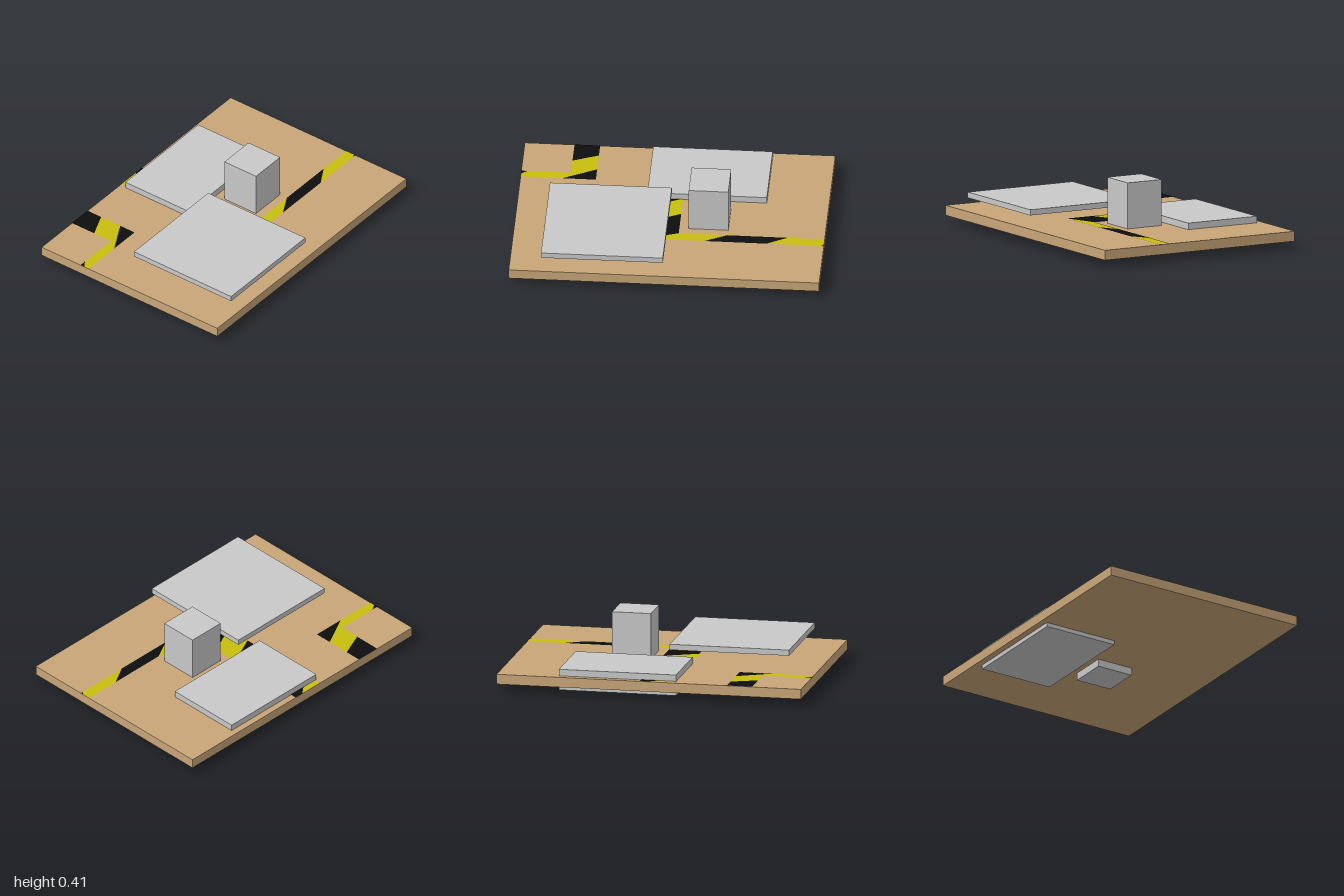
import * as THREE from 'three';

const material = (name, color) => {
  const m = new THREE.MeshStandardMaterial({ color });
  m.name = name;
  return m;
};

export function createModel() {
  const wood = material('wood', 0xc8a578);
  const grey = material('grey', 0xc8c8c8);
  const black = material('black', 0x0d0d0d);
  const yellow = material('yellow', 0xc8be0f);

  const model = new THREE.Group();
  model.name = 'boardWithBlocks';

  // Box given by its lower and upper corners
  const box = (name, mat, [x0, y0, z0], [x1, y1, z1]) => {
    const mesh = new THREE.Mesh(new THREE.BoxGeometry(x1 - x0, y1 - y0, z1 - z0), mat);
    mesh.position.set((x0 + x1) / 2, (y0 + y1) / 2, (z0 + z1) / 2);
    mesh.name = name;
    model.add(mesh);
  };

  const top = 0.115;
  box('baseBoard', wood, [-1, 0.05, -0.71], [1, top, 0.71]);
  box('floatingPlate', grey, [-0.795, 0.19, -0.12], [-0.01, 0.227, 0.665]);
  box('backSlab', grey, [-0.17, 0.022, -0.667], [0.6, 0.158, -0.153]);
  box('tallBlock', grey, [0.12, 0, -0.088], [0.375, 0.415, 0.167]);

  // Flat hazard tape pieces, outlined by [x, z] points on top of the board
  const tape = (name, group, mat, points) => {
    const shape = new THREE.Shape(points.map(([x, z]) => new THREE.Vector2(x, -z)));
    const mesh = new THREE.Mesh(new THREE.ShapeGeometry(shape).rotateX(-Math.PI / 2), mat);
    mesh.position.y = top + 0.002;
    mesh.name = name;
    group.add(mesh);
  };

  // L-shaped tape around the back corner
  const cornerTape = new THREE.Group();
  cornerTape.name = 'cornerTape';
  tape('backStripe', cornerTape, black, [[-0.68, -0.71], [-0.515, -0.71], [-0.515, -0.6], [-0.68, -0.53]]);
  tape('bendStripe', cornerTape, yellow, [[-1, -0.365], [-0.955, -0.395], [-0.68, -0.395], [-0.68, -0.53],
    [-0.515, -0.6], [-0.515, -0.445], [-0.73, -0.33], [-1, -0.33]]);
  tape('cornerStripe', cornerTape, black, [[-0.73, -0.33], [-0.515, -0.445], [-0.515, -0.33]]);
  tape('tipStripe', cornerTape, black, [[-1, -0.395], [-0.955, -0.395], [-1, -0.365]]);

  // Wide tape running front to back, with slanted stripes
  const middleTape = new THREE.Group();
  middleTape.name = 'middleTape';
  const [xl, xr] = [-0.155, 0.06];
  tape('firstStripe', middleTape, yellow, [[xl, -0.71], [0, -0.71], [-0.05, -0.67], [xl, -0.62]]);
  tape('secondStripe', middleTape, black, [[0, -0.71], [xr, -0.71], [xr, -0.545], [xl, -0.44], [xl, -0.62], [-0.05, -0.67]]);
  // [left z, right z] of each further stripe boundary
  const cuts = [[-0.44, -0.545], [-0.265, -0.37], [-0.06, -0.16], [0.115, 0.01], [0.3, 0.225]];
  for (let i = 0; i < cuts.length - 1; i++) {
    const [a, b] = [cuts[i], cuts[i + 1]];
    tape('slantedStripe', middleTape, i % 2 ? black : yellow, [[xl, a[0]], [xr, a[1]], [xr, b[1]], [xl, b[0]]]);
  }

  // Narrow tape running out to the side
  const sideTape = new THREE.Group();
  sideTape.name = 'sideTape';
  tape('innerStripe', sideTape, yellow, [[xl, 0.3], [xr, 0.225], [0.37, 0.225], [0.23, 0.3]]);
  tape('middleStripe', sideTape, black, [[0.23, 0.3], [0.37, 0.225], [0.76, 0.225], [0.63, 0.3]]);
  tape('outerStripe', sideTape, yellow, [[0.63, 0.3], [0.76, 0.225], [1, 0.225], [1, 0.285], [0.98, 0.3]]);
  tape('tipStripe', sideTape, black, [[0.98, 0.3], [1, 0.285], [1, 0.3]]);

  model.add(cornerTape, middleTape, sideTape);
  return model;
}
